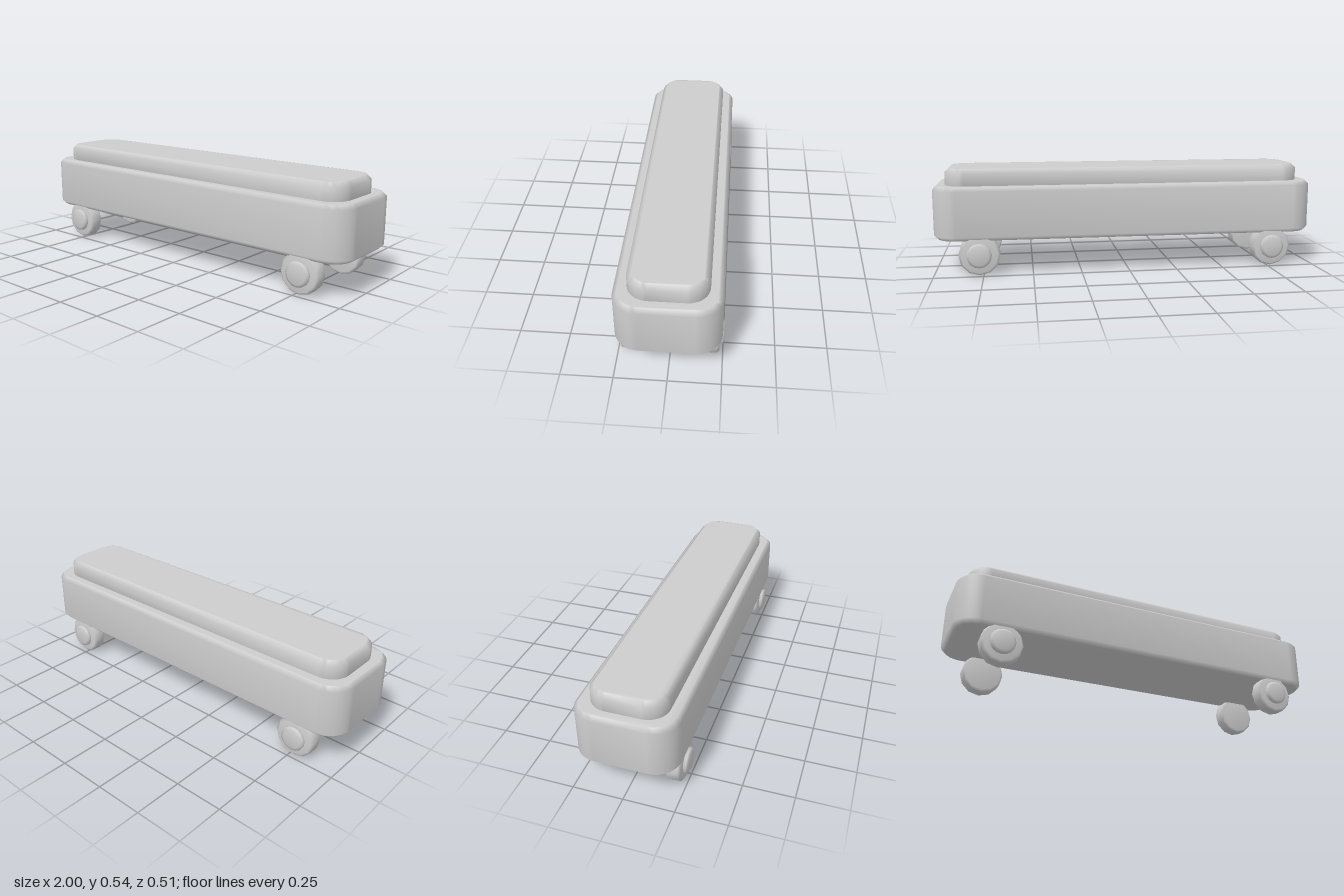
import * as THREE from 'three';
import { mergeVertices } from 'three/addons/utils/BufferGeometryUtils.js';

// Weld corners and use area-weighted normals: broad faces stay flat, bevels shade softly
function soften(geometry) {
  geometry.deleteAttribute('normal');
  geometry.deleteAttribute('uv');
  const welded = mergeVertices(geometry, 1e-4);
  welded.computeVertexNormals();
  return welded;
}

// Bevelled slab with rounded corners, lying flat between y0 and y1
function slab(halfX, halfZ, y0, y1, radius, bevel) {
  const x = halfX - bevel, z = halfZ - bevel, r = radius - bevel;
  const shape = new THREE.Shape();
  shape.absarc(x - r, z - r, r, 0, Math.PI / 2);
  shape.absarc(-x + r, z - r, r, Math.PI / 2, Math.PI);
  shape.absarc(-x + r, -z + r, r, Math.PI, Math.PI * 1.5);
  shape.absarc(x - r, -z + r, r, Math.PI * 1.5, Math.PI * 2);
  const geometry = new THREE.ExtrudeGeometry(shape, {
    depth: y1 - y0 - 2 * bevel, curveSegments: 4,
    bevelThickness: bevel, bevelSize: bevel, bevelSegments: 1,
  });
  geometry.rotateX(-Math.PI / 2);
  geometry.translate(0, y0 + bevel, 0);
  return soften(geometry);
}

// Solid of revolution whose axis points along +z
function turned(profile, sides) {
  const points = profile.map(([r, z]) => new THREE.Vector2(r, z));
  return soften(new THREE.LatheGeometry(points, sides).rotateX(Math.PI / 2));
}

export function createModel() {
  const model = new THREE.Group();
  model.name = 'wheeledCase';
  const grey = new THREE.MeshStandardMaterial({ color: 0xcccccc });
  grey.name = 'light grey';

  const add = (parent, name, geometry) => {
    const mesh = new THREE.Mesh(geometry, grey);
    mesh.name = name;
    parent.add(mesh);
  };

  // Long body with a smaller raised top
  add(model, 'body', slab(1, 0.247, 0.18, 0.452, 0.12, 0.02));
  add(model, 'topPanel', slab(0.94, 0.185, 0.42, 0.538, 0.1, 0.022));

  // Four wheels with hubs on their outer sides
  const tyre = turned([[0, 0.157], [0.093, 0.157], [0.105, 0.168], [0.105, 0.222], [0.093, 0.234], [0, 0.234]], 12);
  const hub = turned([[0, 0.225], [0.063, 0.225], [0.063, 0.246], [0.048, 0.255], [0, 0.255]], 16);
  for (const end of [-1, 1]) {
    for (const side of [-1, 1]) {
      const wheel = new THREE.Group();
      wheel.name = (side > 0 ? 'front' : 'back') + (end > 0 ? 'Left' : 'Right') + 'Wheel';
      wheel.position.set(end * 0.77, 0.105, 0);
      wheel.rotation.y = side > 0 ? 0 : Math.PI;
      add(wheel, 'tyre', tyre);
      add(wheel, 'hub', hub);
      model.add(wheel);
    }
  }
  return model;
}
